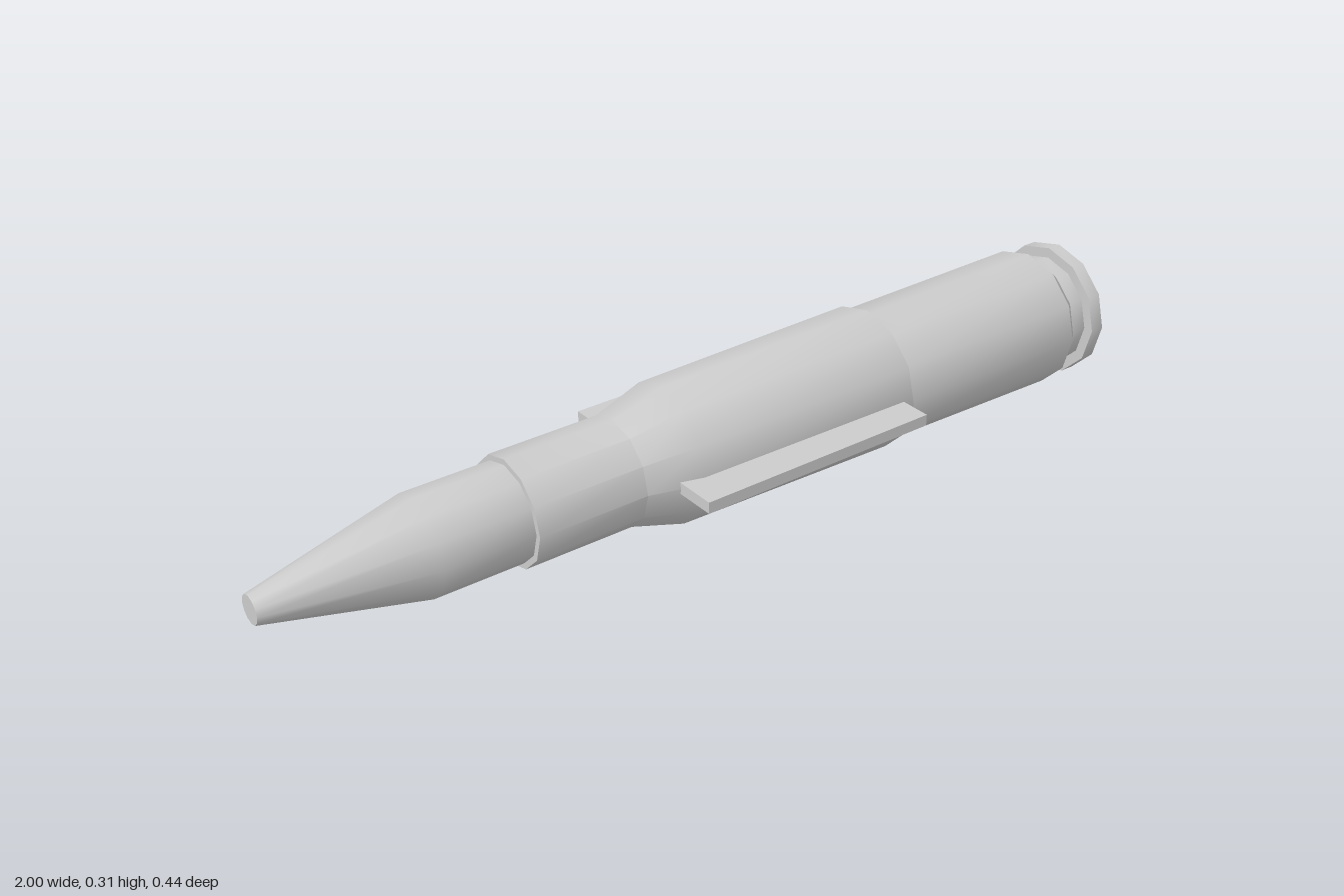
import * as THREE from 'three';
import { toCreasedNormals } from 'three/addons/utils/BufferGeometryUtils.js';

const SIDES = 12;
const AXIS_Y = 0.157;

export function createModel() {
  const model = new THREE.Group();
  model.name = 'cartridge';
  const grey = new THREE.MeshStandardMaterial({ color: 0xcccccc });

  // Turned part lying along x, from [x, radius] pairs running towards +x
  function turned(name, profile) {
    const points = profile.map(([x, r]) => new THREE.Vector2(r, x));
    const lathe = new THREE.LatheGeometry(points, SIDES).rotateZ(-Math.PI / 2);
    const mesh = new THREE.Mesh(toCreasedNormals(lathe, THREE.MathUtils.degToRad(33)), grey);
    mesh.name = name;
    mesh.position.y = AXIS_Y;
    model.add(mesh);
  }

  // Pointed tip with a small blunt end
  turned('tip', [[-1, 0], [-1, 0.03], [-0.67, 0.103], [-0.475, 0.103], [-0.46, 0]]);

  // Sleeve: narrow neck, shoulder and slightly flaring body
  turned('sleeve', [
    [-0.475, 0], [-0.475, 0.115], [-0.23, 0.115], [-0.115, 0.148], [0.42, 0.157], [0.42, 0],
  ]);

  // Rear casing with extraction groove and rim
  turned('casing', [
    [0.4, 0], [0.4, 0.147], [0.9, 0.154], [0.93, 0.127], [0.967, 0.127],
    [0.967, 0.15], [1, 0.15], [1, 0],
  ]);

  // Flat side fins, mirrored front and back
  for (const side of [1, -1]) {
    const fin = new THREE.Mesh(new THREE.BoxGeometry(0.56, 0.025, 0.122), grey);
    fin.name = side > 0 ? 'frontFin' : 'backFin';
    fin.position.set(0.115, 0.158, side * 0.161);
    model.add(fin);
  }

  return model;
}
